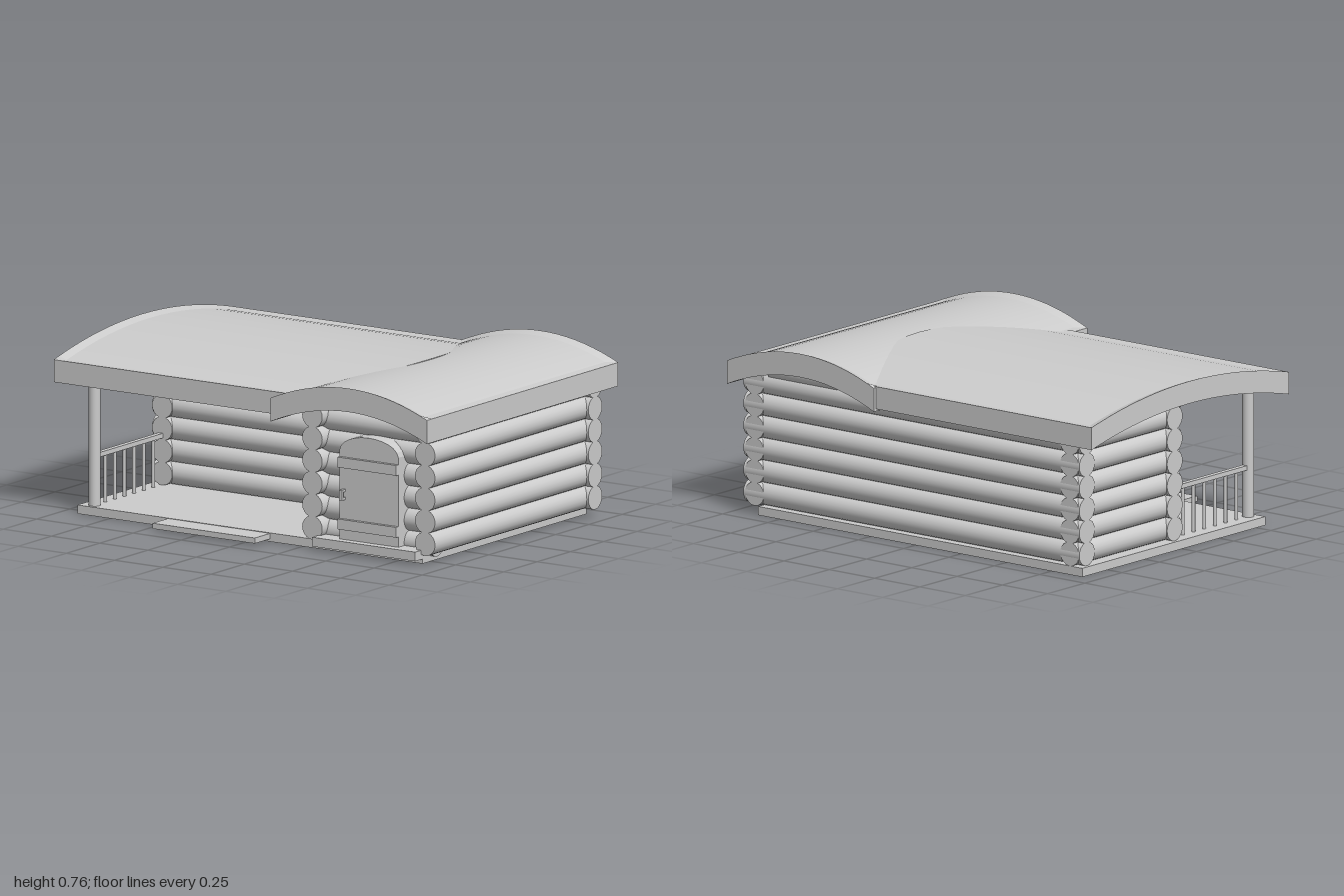
import * as THREE from 'three';
import { toCreasedNormals } from 'three/addons/utils/BufferGeometryUtils.js';

const mat = new THREE.MeshStandardMaterial({ color: 0xcccccc });
const R = 0.052, STEP = 0.0975, Y0 = 0.09, ROWS = 6;

export function createModel() {
  const model = new THREE.Group();

  const add = (name, geometry, x = 0, y = 0, z = 0, parent = model) => {
    const mesh = new THREE.Mesh(geometry, mat);
    mesh.name = name;
    mesh.position.set(x, y, z);
    parent.add(mesh);
    return mesh;
  };

  // box given by its limits on each axis
  const box = (name, x0, x1, y0, y1, z0, z1, parent) =>
    add(name, new THREE.BoxGeometry(x1 - x0, y1 - y0, z1 - z0),
      (x0 + x1) / 2, (y0 + y1) / 2, (z0 + z1) / 2, parent);

  // one log along x or z, from a to b, with c its place on the other axis
  const log = (axis, a, b, c, y, parent = model) => {
    const geo = new THREE.CylinderGeometry(R, R, b - a, 20);
    const mid = (a + b) / 2;
    if (axis === 'x') return add('log', geo.rotateZ(Math.PI / 2), mid, y, c, parent);
    return add('log', geo.rotateX(Math.PI / 2), c, y, mid, parent);
  };

  const wall = (name, axis, a, b, c, dy = 0) => {
    const group = new THREE.Group();
    group.name = name;
    for (let i = 0; i < ROWS; i++) log(axis, a, b, c, Y0 + dy + i * STEP, group);
    model.add(group);
    return group;
  };

  // floor and steps
  box('floorBase', -0.92, 0.87, 0, 0.038, -0.67, 0.56);
  box('porchStep', -0.45, 0.08, 0.012, 0.036, 0.5, 0.675);
  box('doorStep', 0.335, 0.87, 0.02, 0.06, 0.45, 0.615);

  // log walls, with short logs filling the gables
  const back = wall('backWall', 'x', -0.905, 0.95, -0.62);
  log('x', 0.38, 0.82, -0.62, 0.645, back);
  const right = wall('wingOuterWall', 'z', -0.67, 0.57, 0.89);
  right.name = 'wingOuterWall';
  wall('wingInnerWall', 'z', -0.08, 0.57, 0.305);
  const porch = wall('porchWall', 'x', -0.905, 0.36, -0.03);
  log('x', -0.905, 0.36, -0.03, 0.66, porch);
  const side = wall('sideWall', 'z', -0.67, 0.025, -0.85);
  log('z', -0.5, 0.025, -0.85, 0.645, side);
  const front = wall('wingFrontWall', 'x', 0.305, 0.89, 0.48, -0.018);
  log('x', 0.38, 0.82, 0.48, 0.645, front);

  // arched door with bands and a handle
  const door = new THREE.Group();
  door.name = 'door';
  model.add(door);
  const shape = new THREE.Shape();
  shape.moveTo(0.45, 0.06);
  shape.lineTo(0.755, 0.06);
  shape.lineTo(0.755, 0.45);
  shape.bezierCurveTo(0.74, 0.54, 0.465, 0.54, 0.45, 0.45);
  shape.closePath();
  add('doorPanel', new THREE.ExtrudeGeometry(shape, { depth: 0.09, bevelEnabled: false, curveSegments: 12 }), 0, 0, 0.485, door);
  for (const y of [0.105, 0.375]) box('doorBand', 0.45, 0.755, y, y + 0.045, 0.56, 0.592, door);
  box('handleGrip', 0.468, 0.482, 0.235, 0.28, 0.592, 0.604, door);
  for (const y of [0.235, 0.27]) box('handleEnd', 0.468, 0.482, y, y + 0.01, 0.57, 0.595, door);

  // porch post and railing
  add('porchPost', new THREE.CylinderGeometry(0.026, 0.026, 0.58, 16), -0.858, 0.32, 0.52);
  const railing = new THREE.Group();
  railing.name = 'railing';
  model.add(railing);
  box('handRail', -0.87, -0.846, 0.245, 0.265, 0, 0.52, railing);
  for (let i = 0; i < 6; i++) {
    add('baluster', new THREE.CylinderGeometry(0.008, 0.008, 0.22, 8), -0.858, 0.14, 0.08 + i * 0.072, railing);
  }

  // two crossing arched roofs with a raised rim
  const wing = add('wingRoof', archedRoof({
    half: 0.405, peak: 0.745, drop: 0.09, thick: 0.09,
    start: -0.72, end: () => 0.715, rims: [1, 1],
  }), 0.595);
  wing.name = 'wingRoof';
  const main = add('mainRoof', archedRoof({
    half: 0.663, peak: 0.743, drop: 0.083, thick: 0.085,
    start: -1, end: (t) => 0.21 + 0.29 * (1 - t * t), rims: [1, 0],
  }), 0, 0, -0.042);
  main.rotation.y = Math.PI / 2;

  return model;
}

// Arched slab: spans -half..half in x, runs along z; end(t) shapes the far end.
function archedRoof({ half, peak, drop, thick, start, end, rims }) {
  const N = 16, RIM = 0.04, LIP = 0.013;
  const across = [-1];
  for (let i = 0; i <= N; i++) across.push((i / N * 2 - 1) * (1 - RIM / half));
  across.push(1);
  const n = across.length, ring = n * 2, pos = [], idx = [];

  for (let j = 0; j < 4; j++) {
    const lifted = (j === 0 && rims[0]) || (j === 3 && rims[1]);
    const put = (t, top) => {
      const e = end(t);
      const z = [start, start + RIM, e - RIM, e][j];
      const lip = lifted || Math.abs(t) === 1 ? LIP : 0;
      const y = peak - drop * t * t + (top ? lip : -thick);
      pos.push(t * half, y, z);
    };
    for (const t of across) put(t, false);
    for (let i = n - 1; i >= 0; i--) put(across[i], true);
  }
  const quad = (a, b, c, d) => idx.push(a, b, c, a, c, d);
  for (let j = 0; j < 3; j++) {
    for (let k = 0; k < ring; k++) {
      const k2 = (k + 1) % ring, o = j * ring, p = o + ring;
      quad(o + k, o + k2, p + k2, p + k);
    }
  }
  // end faces
  const last = 3 * ring;
  for (let i = 0; i < n - 1; i++) {
    const a = i, b = i + 1, c = ring - 2 - i, d = ring - 1 - i;
    quad(last + a, last + b, last + c, last + d);
    quad(d, c, b, a);
  }
  const geo = new THREE.BufferGeometry();
  geo.setAttribute('position', new THREE.Float32BufferAttribute(pos, 3));
  geo.setIndex(idx);
  return toCreasedNormals(geo, 0.2);
}
